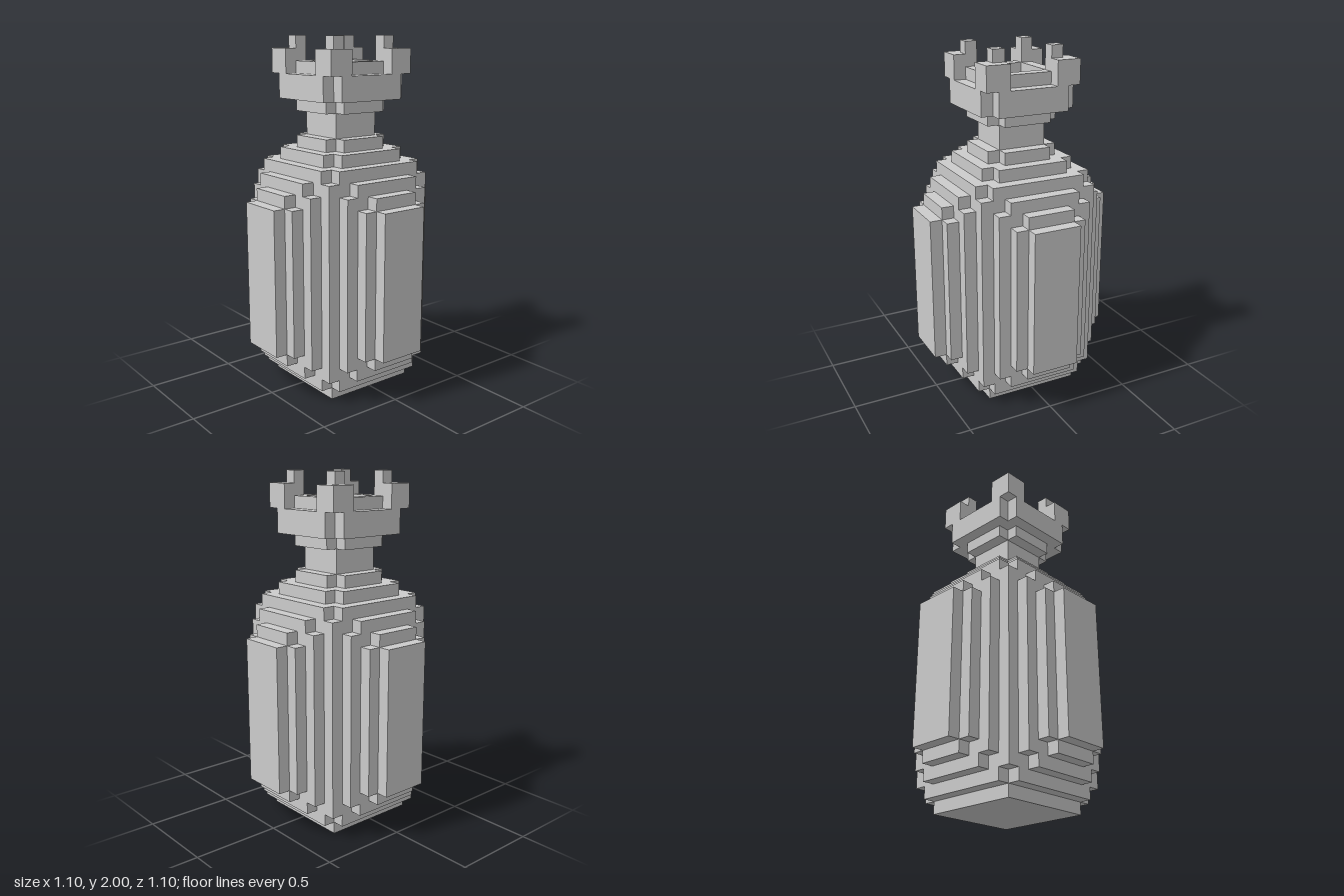
import * as THREE from 'three';

const U = 2 / 29; // size of one block
const material = new THREE.MeshStandardMaterial({ color: 0xcccccc });

// Box from block-unit bounds
function block(parent, name, x0, x1, y0, y1, z0, z1) {
  const mesh = new THREE.Mesh(
    new THREE.BoxGeometry((x1 - x0) * U, (y1 - y0) * U, (z1 - z0) * U), material);
  mesh.position.set((x0 + x1) / 2 * U, (y0 + y1) / 2 * U, (z0 + z1) / 2 * U);
  mesh.name = name;
  parent.add(mesh);
}

// Centred slab, repeated a quarter turn round when it is not square
function cross(parent, name, a, b, y0, y1) {
  block(parent, name, -a, a, y0, y1, -b, b);
  if (a !== b) block(parent, name, -b, b, y0, y1, -a, a);
}

function part(root, name) {
  const group = new THREE.Group();
  group.name = name;
  root.add(group);
  return group;
}

export function createModel() {
  const root = new THREE.Group();
  root.name = 'blockBottle';

  // Stepped body: half widths, bottom and top of each nested slab
  const body = part(root, 'body');
  [
    [4, 4, 0, 19], [4, 3, 1, 20], [5, 4, 1, 19], [5, 5, 2, 18],
    [6, 3, 2, 18], [6, 4, 3, 17], [7, 2, 3, 17], [7, 3, 4, 16], [8, 2, 4, 16],
  ].forEach(([a, b, y0, y1]) => cross(body, 'bodySlab', a, b, y0, y1));

  // Shoulder and neck
  const neck = part(root, 'neck');
  cross(neck, 'shoulder', 3, 2, 20, 21);
  cross(neck, 'neckColumn', 2, 2, 21, 23);

  // Flared cup, hollow above its base
  const cup = part(root, 'cup');
  cross(cup, 'cupBase', 3, 2, 23, 24);
  for (const s of [-1, 1]) {
    const span = (a, b) => (s > 0 ? [a, b] : [-b, -a]);
    const [w0, w1] = span(2, 4);
    block(cup, 'cupWall', -3, 3, 24, 26, w0, w1);
    block(cup, 'cupWall', w0, w1, 24, 26, -3, 3);
    const [r0, r1] = span(2, 3);
    block(cup, 'cupRim', -3, 3, 26, 27, r0, r1);
    block(cup, 'cupRim', r0, r1, 26, 27, -3, 3);
  }

  // Four corner prongs with small tips
  const prongs = part(root, 'prongs');
  for (const sx of [-1, 1]) for (const sz of [-1, 1]) {
    const span = (s, a, b) => (s > 0 ? [a, b] : [-b, -a]);
    block(prongs, 'prong', ...span(sx, 2, 4), 26, 28, ...span(sz, 2, 4));
    block(prongs, 'prongTip', ...span(sx, 2, 3), 28, 29, ...span(sz, 2, 3));
  }
  return root;
}
